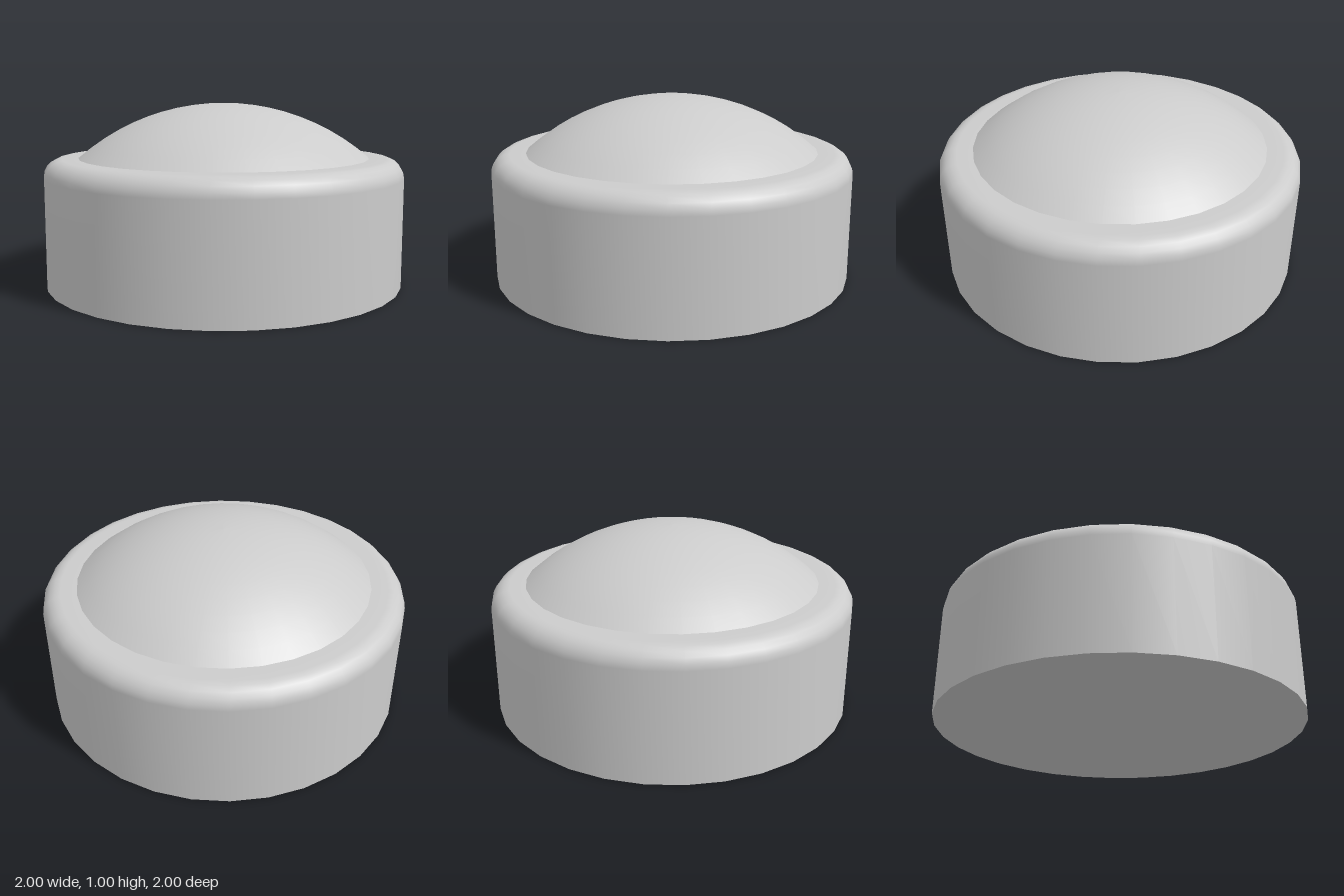
import * as THREE from 'three';

const SIDES = 32;
const BODY_TOP = 0.7, FILLET = 0.1, DOME_R = 0.81, DOME_H = 0.3;

// Points on a circular arc in the profile plane, angles measured from +x
function arc(cx, cy, r, from, to, steps) {
  return Array.from({ length: steps + 1 }, (_, i) => {
    const a = from + (to - from) * i / steps;
    return new THREE.Vector2(Math.max(0, cx + r * Math.cos(a)), cy + r * Math.sin(a));
  });
}

export function createModel() {
  const group = new THREE.Group();
  const material = new THREE.MeshStandardMaterial({ color: 0xcccccc });
  const add = (name, geometry) => {
    const mesh = new THREE.Mesh(geometry, material);
    mesh.name = name;
    group.add(mesh);
    return mesh;
  };

  // Round wall with a filleted shoulder and a flat rim
  add('body', new THREE.LatheGeometry([
    new THREE.Vector2(1, 0),
    ...arc(1 - FILLET, BODY_TOP - FILLET, FILLET, 0, Math.PI / 2, 5),
    new THREE.Vector2(DOME_R, BODY_TOP),
  ], SIDES));

  // Shallow spherical cap meeting the rim at a crease
  const radius = (DOME_R ** 2 + DOME_H ** 2) / (2 * DOME_H);
  const centreY = BODY_TOP + DOME_H - radius;
  const start = Math.acos(DOME_R / radius);
  add('dome', new THREE.LatheGeometry(arc(0, centreY, radius, start, Math.PI / 2, 10), SIDES));

  // Flat underside
  add('base', new THREE.CircleGeometry(1, SIDES)).rotation.x = Math.PI / 2;

  return group;
}
